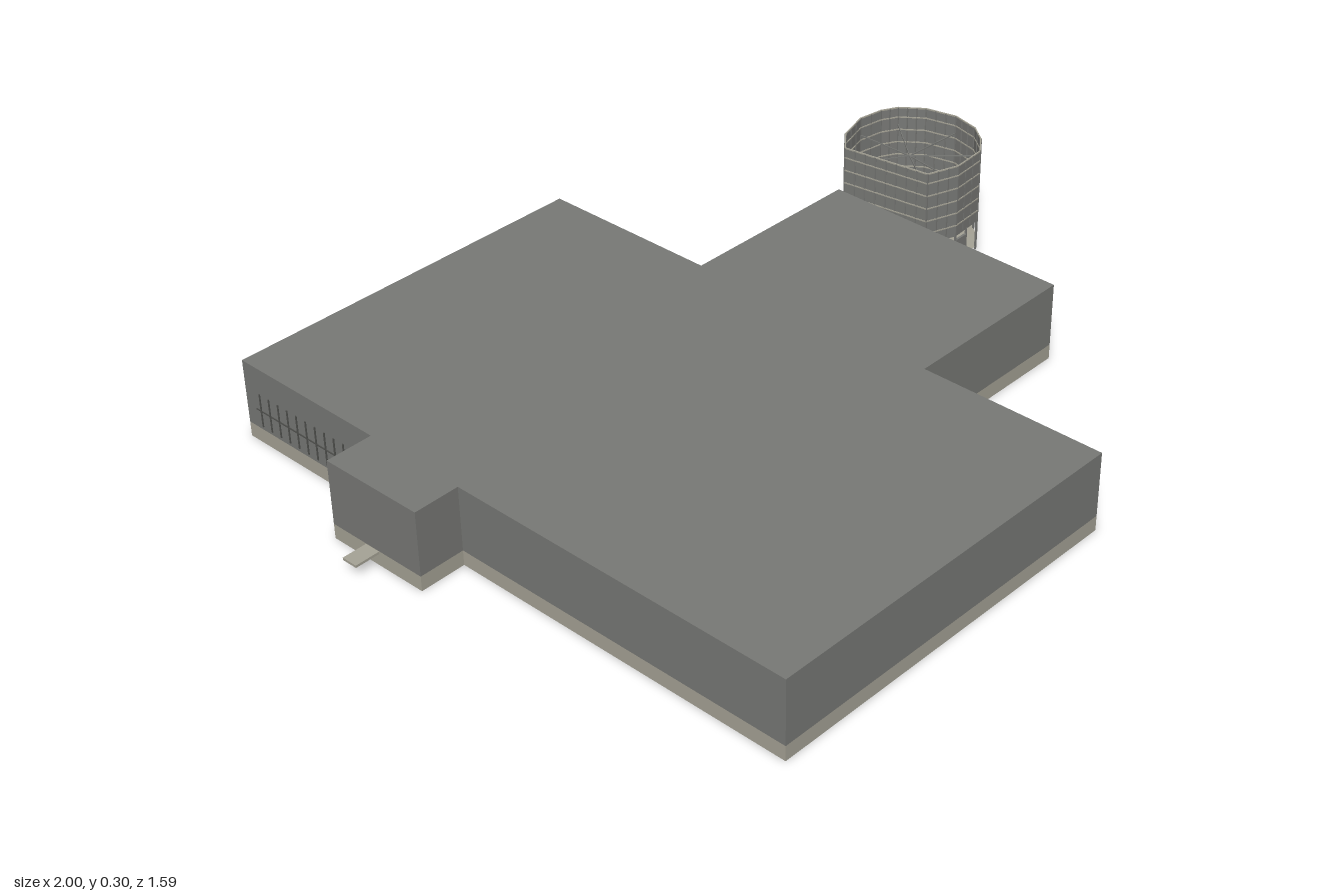
import * as THREE from 'three';

export function createModel() {
  const model = new THREE.Group();
  const mat = (name, color, extra = {}) => {
    const m = new THREE.MeshStandardMaterial({ color, ...extra });
    m.name = name;
    return m;
  };
  const grey = mat('wallGrey', 0x787976);
  const beige = mat('baseBeige', 0xa6a396, { side: THREE.DoubleSide });
  const dark = mat('barGrey', 0x50514e);

  const add = (name, geometry, material, parent = model) => {
    const mesh = new THREE.Mesh(geometry, material);
    mesh.name = name;
    parent.add(mesh);
    return mesh;
  };
  const group = (name) => {
    const g = new THREE.Group();
    g.name = name;
    model.add(g);
    return g;
  };
  const box = (name, size, position, material, parent = model) => {
    const mesh = add(name, new THREE.BoxGeometry(...size), material, parent);
    mesh.position.set(...position);
    return mesh;
  };
  // Thin upright panel or rail between two plan points [x, z]
  const panel = (name, a, b, y0, y1, thick, material, parent) => {
    const dx = b[0] - a[0], dz = b[1] - a[1];
    const mesh = box(name, [Math.hypot(dx, dz), y1 - y0, thick],
      [(a[0] + b[0]) / 2, (y0 + y1) / 2, (a[1] + b[1]) / 2], material, parent);
    mesh.rotation.y = -Math.atan2(dz, dx);
    return mesh;
  };
  const mix = (a, b, t) => [a[0] + (b[0] - a[0]) * t, a[1] + (b[1] - a[1]) * t];
  // Plan outline raised from y0 to y1
  const slab = (name, outline, y0, y1, material) => {
    const shape = new THREE.Shape(outline.map(([x, z]) => new THREE.Vector2(x, -z)));
    const geometry = new THREE.ExtrudeGeometry(shape, { depth: y1 - y0, bevelEnabled: false });
    geometry.rotateX(-Math.PI / 2).translate(0, y0, 0);
    return add(name, geometry, material);
  };

  // Main hall: beige plinth under grey walls and a flat roof
  const footprint = [
    [-0.816, -0.793], [0.13, -0.782], [0.127, -0.32], [0.605, -0.313],
    [0.592, 0.332], [0.13, 0.328], [0.127, 0.793], [-0.832, 0.776],
    [-0.823, -0.104], [-0.938, -0.104], [-0.938, -0.37], [-0.82, -0.37],
  ];
  slab('plinth', footprint, 0, 0.037, [grey, beige]);
  slab('hall', footprint, 0.037, 0.197, grey);

  // Slim window bars along the rear walls
  const bars = (name, a, b, count) => {
    const g = group(name);
    for (let i = 0; i < count; i++) {
      const p = mix(a, b, (i + 0.5) / count);
      box('windowBar', [0.004, 0.085, 0.004], [p[0], 0.088, p[1]], dark, g);
    }
    panel('windowRail', a, b, 0.085, 0.088, 0.004, dark, g);
  };
  bars('wingWindows', [0.18, -0.319], [0.59, -0.313], 10);
  bars('sideWindows', [-0.816, -0.76], [-0.82, -0.39], 12);
  bars('annexWindows', [-0.93, -0.37], [-0.83, -0.37], 3);
  bars('wingEndWindows', [0.604, -0.29], [0.601, -0.12], 5);

  // Annex entrance slab
  box('annexStep', [0.065, 0.006, 0.04], [-0.9675, 0.033, -0.25], beige);

  // Round tower with one flat side, open at the top
  const ring = [
    [0.63, -0.316], [0.685, -0.361], [0.77, -0.385], [0.835, -0.374],
    [0.875, -0.352], [0.915, -0.297], [0.932, -0.217], [0.915, -0.147],
    [0.88, -0.102], [0.83, -0.066], [0.74, -0.06], [0.66, -0.089],
  ];
  const centre = [0.768, -0.229];
  const tower = group('tower');

  // Slightly raised floor, beige above and grey below
  const floorPart = (name, y, rise, upward, material) => {
    const positions = [];
    ring.forEach((a, i) => {
      const b = ring[(i + 1) % ring.length];
      const edge = [[a[0], y, a[1]], [b[0], y, b[1]]];
      if (upward) edge.reverse();
      positions.push(centre[0], y + rise, centre[1], ...edge[0], ...edge[1]);
    });
    const geometry = new THREE.BufferGeometry();
    geometry.setAttribute('position', new THREE.Float32BufferAttribute(positions, 3));
    geometry.computeVertexNormals();
    add(name, geometry, material, tower);
  };
  floorPart('towerFloor', 0.035, 0.008, true, beige);
  floorPart('towerUnderside', 0.031, 0, false, grey);

  ring.forEach((a, i) => {
    const b = ring[(i + 1) % ring.length];
    panel('towerWall', a, b, 0.106, 0.298, 0.002, grey, tower);
    panel('topRim', a, b, 0.296, 0.299, 0.003, beige, tower);

    // Pale horizontal glazing rails
    for (let k = 0; k < 5; k++) {
      const y = 0.135 + k * 0.034;
      panel('glazingRail', a, b, y, y + 0.003, 0.005, beige, tower);
    }
    // Grey mullions between the panes
    const count = Math.max(2, Math.round(Math.hypot(b[0] - a[0], b[1] - a[1]) / 0.027));
    for (let k = 0; k < count; k++) {
      const p = mix(a, b, k / count);
      box('mullion', [0.004, 0.19, 0.004], [p[0], 0.203, p[1]], grey, tower);
    }
    // Posts carrying the glazed drum
    [0, 0.5].forEach((t) => {
      const p = mix(a, b, t);
      box('post', [0.004, 0.08, 0.004], [p[0], 0.068, p[1]], grey, tower);
    });
  });

  // Thin spokes bracing the open top
  [0, 2, 4, 6, 8, 10, 11].forEach((i) => {
    panel('spoke', centre, ring[i], 0.25, 0.253, 0.002, grey, tower);
  });

  // Doors and entrance slabs
  box('frontDoor', [0.04, 0.065, 0.006], [0.76, 0.063, -0.06], grey, tower);
  box('sideDoor', [0.006, 0.065, 0.04], [0.93, 0.063, -0.22], grey, tower);
  box('frontStep', [0.04, 0.006, 0.064], [0.757, 0.033, -0.032], beige, tower);
  const sideStep = box('sideStep', [0.068, 0.006, 0.04], [0.963, 0.033, -0.23], beige, tower);
  sideStep.rotation.y = 0.15;

  return model;
}
